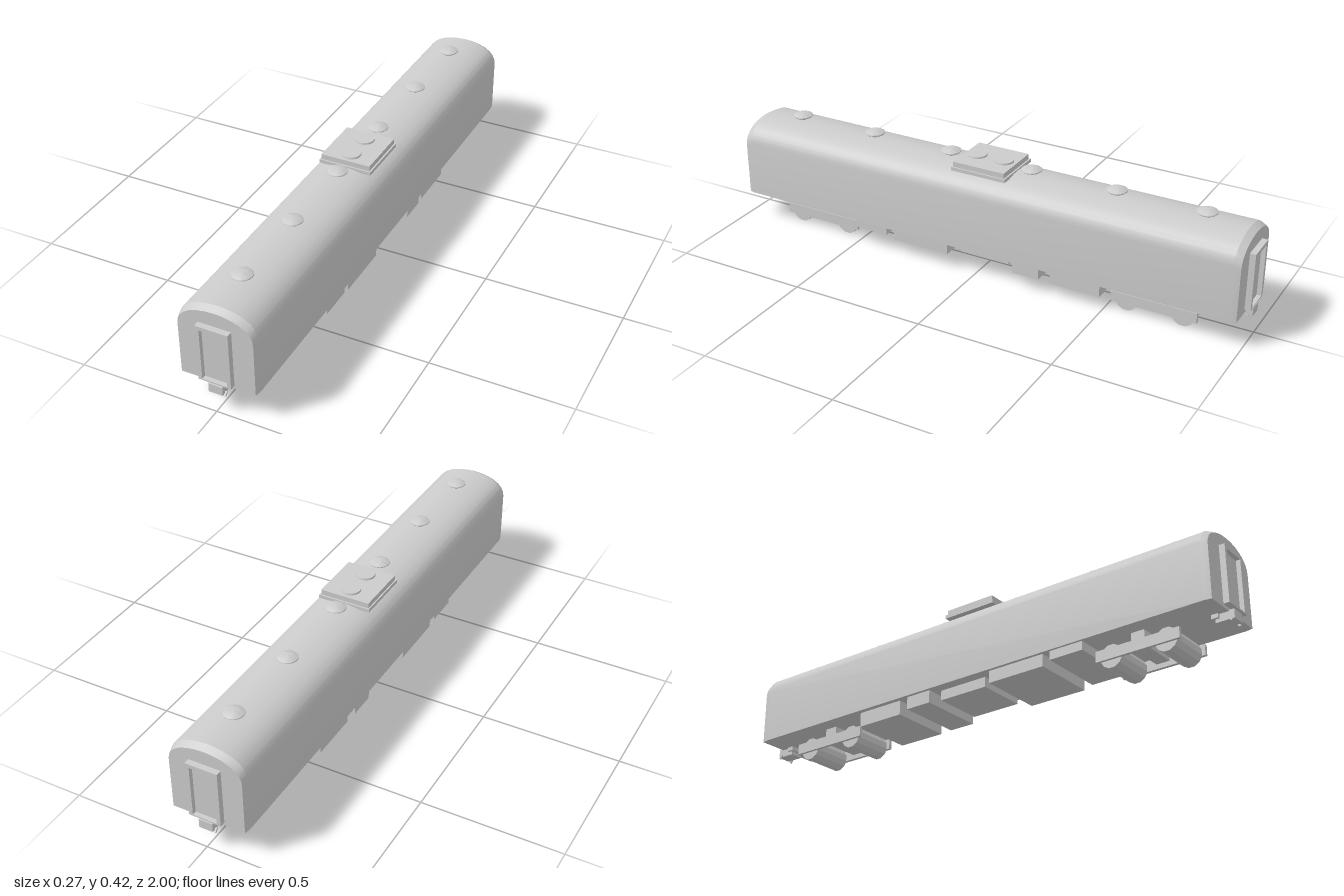
import * as THREE from 'three';
import { toCreasedNormals } from 'three/addons/utils/BufferGeometryUtils.js';

const mat = new THREE.MeshStandardMaterial({ color: 0xcccccc });
const flat = new THREE.MeshStandardMaterial({ color: 0xcccccc, flatShading: true });

function add(parent, name, geometry, material = mat) {
  const mesh = new THREE.Mesh(geometry, material);
  mesh.name = name;
  parent.add(mesh);
  return mesh;
}

// Box given by its limits on each axis
function box(parent, name, [x0, x1], [y0, y1], [z0, z1]) {
  const mesh = add(parent, name, new THREE.BoxGeometry(x1 - x0, y1 - y0, z1 - z0));
  mesh.position.set((x0 + x1) / 2, (y0 + y1) / 2, (z0 + z1) / 2);
  return mesh;
}

// Arched hull: four cross-sections, the outer two drawn in for the end bevels
function bodyGeometry() {
  const half = [[0.137, 0.1], [0.137, 0.305], [0.134, 0.323], [0.126, 0.339], [0.112, 0.354],
    [0.09, 0.368], [0.062, 0.378], [0.03, 0.384]];
  const profile = [...half, [0, 0.386], ...half.map(([x, y]) => [-x, y]).reverse()];
  const n = profile.length;
  const pos = [], idx = [];
  for (const [z, inset] of [[-0.979, 1], [-0.955, 0], [0.955, 0], [0.979, 1]]) {
    for (const [x, y] of profile) {
      pos.push(x * (1 - 0.035 * inset), y - 0.013 * inset * (y - 0.1) / 0.286, z);
    }
  }
  for (let r = 0; r < 3; r++) {
    for (let i = 0; i < n; i++) {
      const a = r * n + i, b = r * n + (i + 1) % n;
      idx.push(a, b, b + n, a, b + n, a + n);
    }
  }
  for (let i = 1; i < n - 1; i++) {
    idx.push(0, i + 1, i, 3 * n, 3 * n + i, 3 * n + i + 1);
  }
  const g = new THREE.BufferGeometry();
  g.setAttribute('position', new THREE.Float32BufferAttribute(pos, 3));
  g.setIndex(idx);
  return toCreasedNormals(g, 0.42);
}

// Rectangle outline usable as shape or hole
function rect(Type, w, y0, y1) {
  return new Type([[-w, y0], [w, y0], [w, y1], [-w, y1]].map(([x, y]) => new THREE.Vector2(x, y)));
}

// End doorway and coupler, built facing +z
function carEnd(name) {
  const end = new THREE.Group();
  end.name = name;
  const frame = rect(THREE.Shape, 0.058, 0.112, 0.322);
  frame.holes.push(rect(THREE.Path, 0.044, 0.117, 0.308));
  add(end, 'doorFrame', new THREE.ExtrudeGeometry(frame, { depth: 0.03, bevelEnabled: false })).position.z = 0.97;
  box(end, 'doorPanel', [-0.044, 0.044], [0.117, 0.308], [0.97, 0.984]);
  box(end, 'couplerMount', [-0.034, 0.034], [0.085, 0.101], [0.92, 0.945]);
  box(end, 'couplerHead', [-0.025, 0.025], [0.072, 0.104], [0.93, 0.998]);
  for (const s of [-1, 1]) {
    const hook = box(end, 'couplerHook', [s * 0.028 - 0.003, s * 0.028 + 0.003], [0.063, 0.08], [0.981, 0.988]);
    hook.rotation.x = -0.7;
  }
  return end;
}

function bogie(z, name) {
  const g = new THREE.Group();
  g.name = name;
  for (const s of [-1, 1]) {
    box(g, 'sideFrame', [s * 0.082 - 0.006, s * 0.082 + 0.006], [0.028, 0.067], [-0.157, 0.157]);
    // Twelve-sided wheel rollers resting on a flat facet
    const wheel = add(g, 'wheel',
      new THREE.CylinderGeometry(0.0425, 0.0425, 0.156, 12, 1, false, Math.PI / 12), flat);
    wheel.rotation.z = Math.PI / 2;
    wheel.position.set(0, 0.041, s * 0.103);
  }
  box(g, 'bolster', [-0.078, 0.078], [0.045, 0.101], [-0.025, 0.025]);
  g.position.z = z;
  return g;
}

export function createModel() {
  const car = new THREE.Group();
  car.name = 'railwayCar';
  add(car, 'body', bodyGeometry());

  const front = carEnd('frontEnd');
  const back = carEnd('backEnd');
  back.rotation.y = Math.PI;
  car.add(front, back);

  // Mushroom vents along the roof
  const ventProfile = [[0.009, 0.375], [0.009, 0.398], [0.032, 0.398], [0.037, 0.402], [0.036, 0.405],
    [0.026, 0.41], [0.013, 0.414], [0, 0.415]].map(([x, y]) => new THREE.Vector2(x, y));
  const ventGeometry = toCreasedNormals(new THREE.LatheGeometry(ventProfile, 24), 0.6);
  for (let i = 0; i < 6; i++) {
    add(car, 'roofVent', ventGeometry).position.z = -0.807 + i * 0.3225;
  }

  // Roof cooling unit with two fan covers
  box(car, 'coolerBase', [-0.098, 0.097], [0.378, 0.391], [-0.107, 0.105]);
  box(car, 'coolerTop', [-0.093, 0.091], [0.39, 0.41], [-0.101, 0.099]);
  for (const s of [-1, 1]) {
    add(car, 'fanCover', new THREE.CylinderGeometry(0.034, 0.036, 0.008, 24)).position.set(0, 0.412, s * 0.053);
  }

  // Equipment boxes under the floor: half width, bottom, z limits
  for (const [w, y, z0, z1] of [[0.128, 0.068, 0.365, 0.495], [0.125, 0.055, 0.11, 0.335],
    [0.095, 0.063, -0.125, 0.07], [0.125, 0.053, -0.257, -0.155], [0.118, 0.046, -0.487, -0.297]]) {
    box(car, 'underfloorBox', [-w, w], [y, 0.101], [z0, z1]);
  }

  car.add(bogie(0.677, 'frontBogie'), bogie(-0.673, 'backBogie'));
  return car;
}
